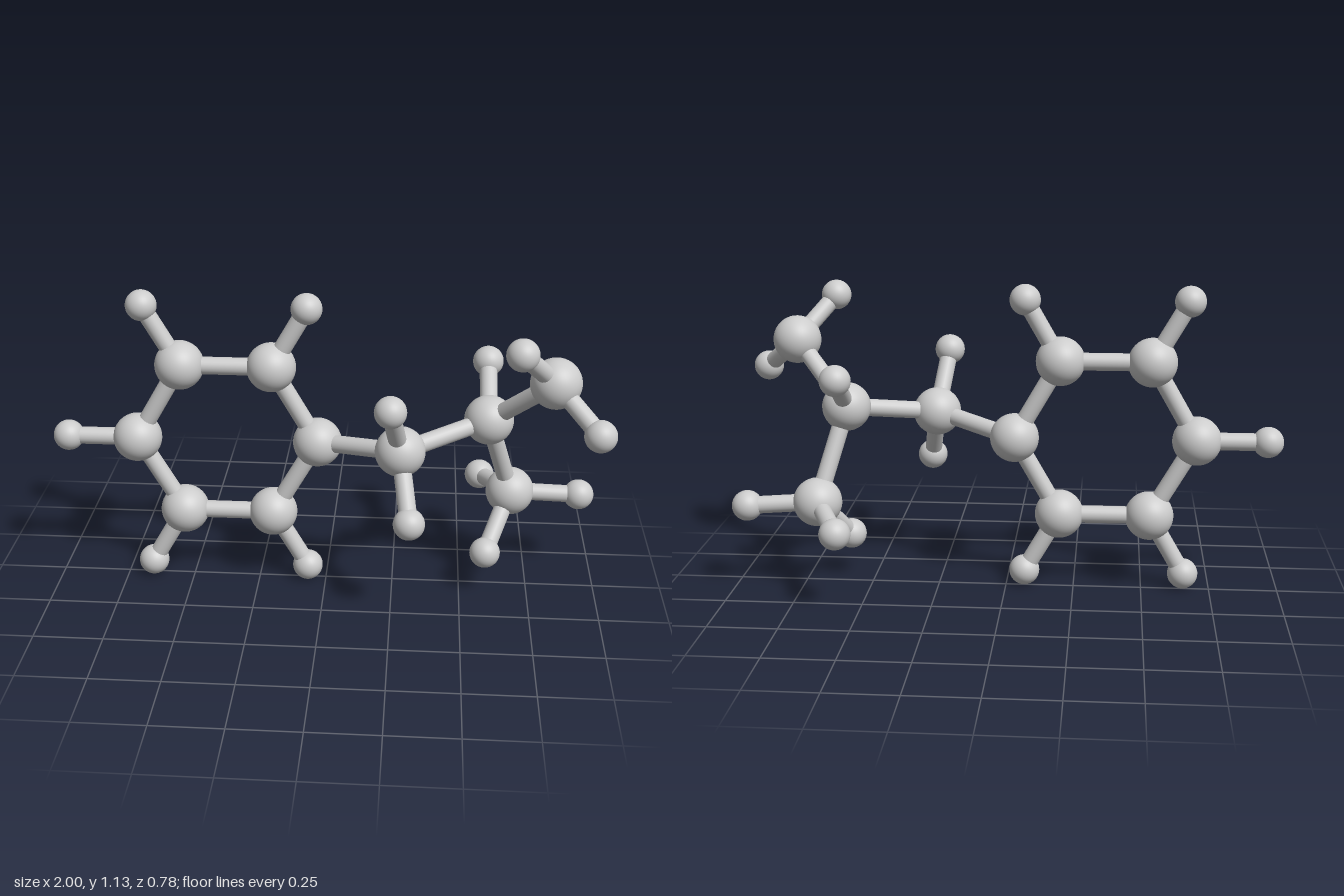
import * as THREE from 'three';

export function createModel() {
  const model = new THREE.Group();
  model.name = 'molecule';
  const gray = new THREE.MeshStandardMaterial({ color: 0xcccccc });
  gray.name = 'lightGray';

  const heavyBall = new THREE.SphereGeometry(0.089, 40, 28);
  const lightBall = new THREE.SphereGeometry(0.056, 32, 22);
  const up = new THREE.Vector3(0, 1, 0);

  function atom(name, geometry, x, y, z) {
    const mesh = new THREE.Mesh(geometry, gray);
    mesh.name = name;
    mesh.position.set(x, y, z);
    model.add(mesh);
    return mesh.position;
  }

  // Stick running between two atom centres
  function bond(name, a, b) {
    const dir = b.clone().sub(a);
    const mesh = new THREE.Mesh(new THREE.CylinderGeometry(0.032, 0.032, dir.length(), 24, 1, true), gray);
    mesh.name = name;
    mesh.position.copy(a).add(b).multiplyScalar(0.5);
    mesh.quaternion.setFromUnitVectors(up, dir.normalize());
    model.add(mesh);
  }

  function hydrogens(parent, positions) {
    for (const p of positions) bond('hydrogenBond', parent, atom('hydrogenAtom', lightBall, ...p));
  }

  // Flat six-sided ring; its first corner carries the side chain
  const cx = -0.36, cy = 0.564, cz = 0.01;
  const ring = [];
  for (let i = 0; i < 6; i++) {
    const a = (i * Math.PI) / 3, c = Math.cos(a), s = Math.sin(a);
    ring.push(atom('ringAtom', heavyBall, cx + 0.33 * c, cy + 0.33 * s, cz));
    if (i > 0) hydrogens(ring[i], [[cx + 0.585 * c, cy + 0.585 * s, cz]]);
  }
  ring.forEach((p, i) => bond('ringBond', p, ring[(i + 1) % 6]));

  // Side chain: link, branching atom, and two end groups
  const link = atom('linkAtom', heavyBall, 0.273, 0.616, 0.187);
  const branch = atom('branchAtom', heavyBall, 0.585, 0.67, 0.009);
  const upperEnd = atom('upperEndAtom', heavyBall, 0.797, 0.884, 0.182);
  const lowerEnd = atom('lowerEndAtom', heavyBall, 0.68, 0.338, -0.103);
  bond('chainBond', ring[0], link);
  bond('chainBond', link, branch);
  bond('chainBond', branch, upperEnd);
  bond('chainBond', branch, lowerEnd);

  hydrogens(link, [[0.24, 0.825, 0.336], [0.311, 0.408, 0.336]]);
  hydrogens(branch, [[0.583, 0.812, -0.208]]);
  hydrogens(upperEnd, [[0.67, 1.033, 0.316], [0.943, 0.754, 0.323]]);
  hydrogens(lowerEnd, [[0.937, 0.323, -0.119], [0.59, 0.164, 0.068], [0.575, 0.293, -0.336]]);

  return model;
}
